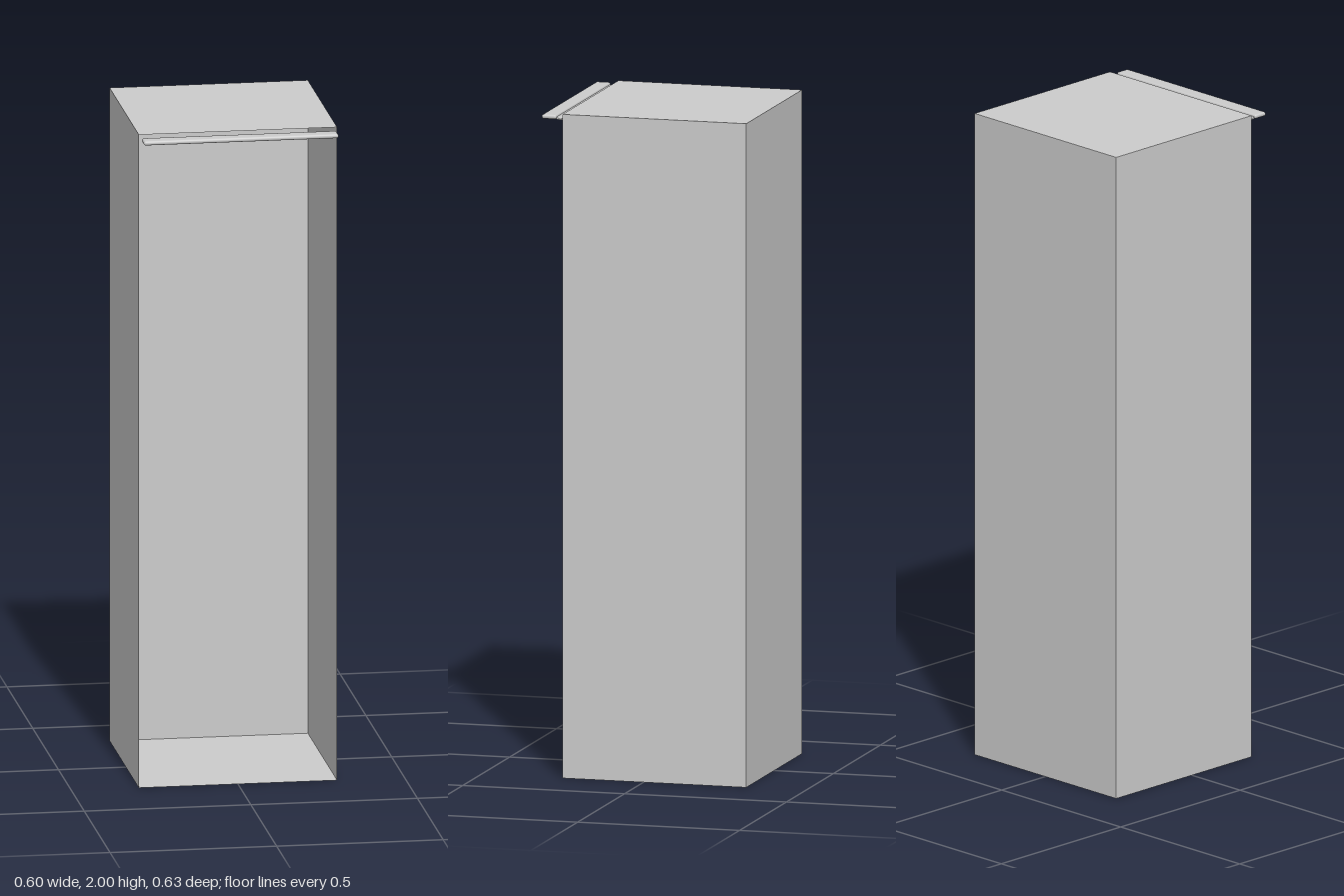
import * as THREE from 'three';
import { RoundedBoxGeometry } from 'three/addons/geometries/RoundedBoxGeometry.js';

const W = 0.595, H = 2, BACK = -0.317, FRONT = 0.25;

export function createModel() {
  const group = new THREE.Group();
  const material = new THREE.MeshStandardMaterial({ color: 0xcccccc, side: THREE.DoubleSide });
  const add = (name, geometry, x, y, z, rx = 0, ry = 0) => {
    const mesh = new THREE.Mesh(geometry, material);
    mesh.name = name;
    mesh.position.set(x, y, z);
    mesh.rotation.set(rx, ry, 0);
    group.add(mesh);
  };

  // Thin cabinet shell, open at the front
  const D = FRONT - BACK, midZ = (FRONT + BACK) / 2;
  add('backPanel', new THREE.PlaneGeometry(W, H), 0, H / 2, BACK, 0, Math.PI);
  add('topPanel', new THREE.PlaneGeometry(W, D), 0, H, midZ, -Math.PI / 2);
  add('bottomPanel', new THREE.PlaneGeometry(W, D), 0, 0, midZ, Math.PI / 2);
  for (const [name, s] of [['leftPanel', 1], ['rightPanel', -1]])
    add(name, new THREE.PlaneGeometry(D, H), s * W / 2, H / 2, midZ, 0, s * Math.PI / 2);

  // Rounded grip bar along the top front edge
  add('gripBar', new RoundedBoxGeometry(0.584, 0.013, 0.045, 3, 0.006), 0, 1.989, 0.2945);

  // Curved neck joining the bar to the shell, its ends flaring towards the bar
  const profile = new THREE.Shape();
  profile.moveTo(0.276, 1.993);
  profile.quadraticCurveTo(0.268, 1.984, 0.259, 1.983);
  profile.lineTo(0.25, 1.988);
  profile.lineTo(0.25, 1.982);
  profile.quadraticCurveTo(0.26, 1.977, 0.276, 1.984);
  const neck = new THREE.ExtrudeGeometry(profile, { depth: 0.568, bevelEnabled: false, curveSegments: 8 });
  neck.translate(0, 0, -0.284);
  neck.rotateY(-Math.PI / 2);
  // After the turn the profile runs along +z and the length along x
  const p = neck.attributes.position;
  for (let i = 0; i < p.count; i++) {
    const t = Math.abs(p.getZ(i) - 0.26) / 0.016;
    p.setX(i, p.getX(i) * (1 + 0.01 * t * t));
  }
  neck.computeVertexNormals();
  add('gripNeck', neck, 0, 0, 0);

  return group;
}
